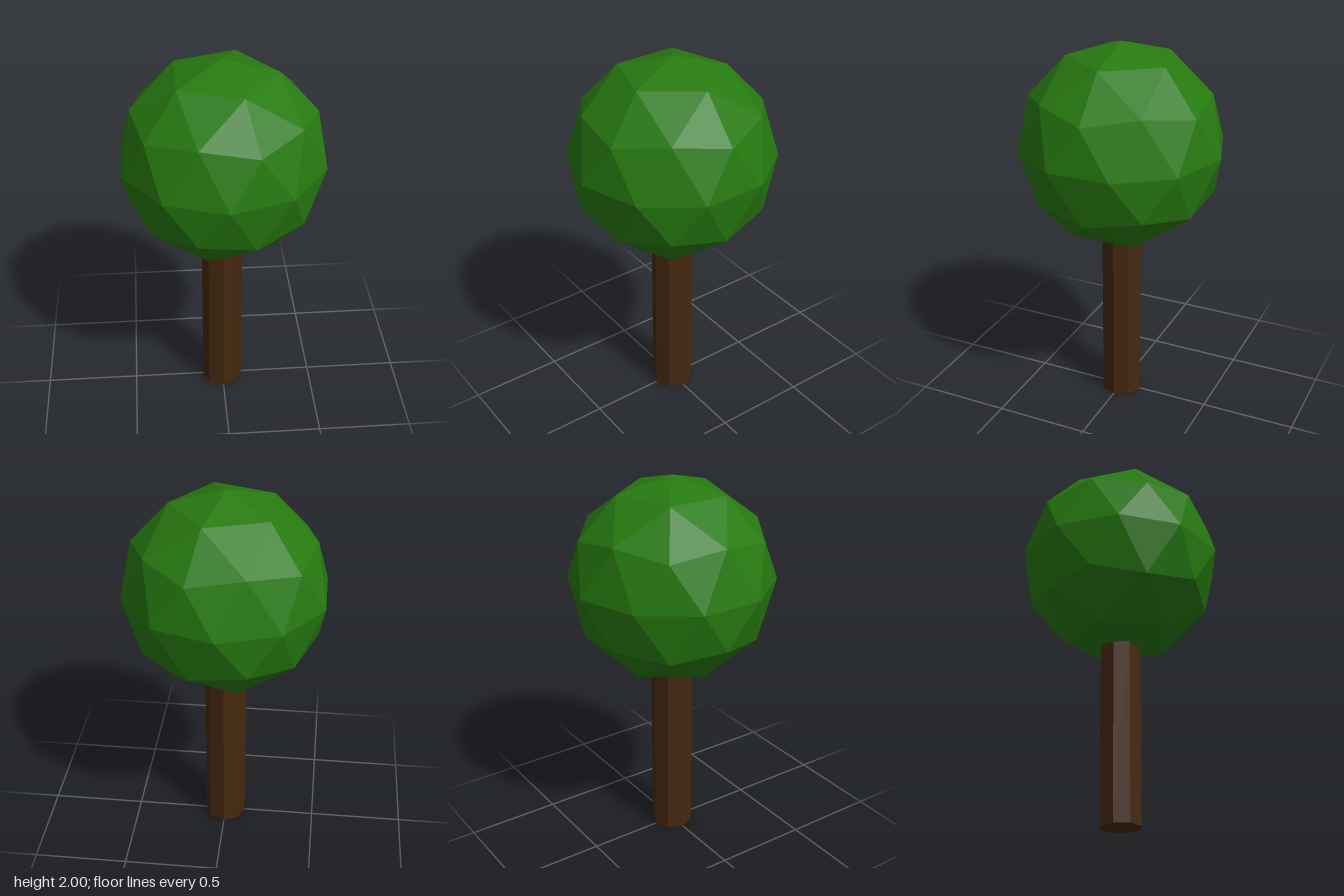
import * as THREE from 'three';

export function createModel() {
  const tree = new THREE.Group();
  tree.name = 'tree';

  const leafGreen = new THREE.MeshStandardMaterial({ color: 0x277a10, flatShading: true });
  leafGreen.name = 'leaf green';
  const barkBrown = new THREE.MeshStandardMaterial({ color: 0x45280f, flatShading: true });
  barkBrown.name = 'bark brown';

  // Octagonal trunk, its top sunk into the crown
  const trunkHeight = 1;
  const trunk = new THREE.Mesh(new THREE.CylinderGeometry(0.11, 0.11, trunkHeight, 8), barkBrown);
  trunk.name = 'trunk';
  trunk.position.y = trunkHeight / 2;
  tree.add(trunk);

  // Faceted crown, turned so that one corner points straight up
  const radius = 0.537;
  const golden = (1 + Math.sqrt(5)) / 2;
  const crownGeometry = new THREE.IcosahedronGeometry(radius, 1);
  crownGeometry.rotateZ(-Math.atan(1 / golden));
  const crown = new THREE.Mesh(crownGeometry, leafGreen);
  crown.name = 'crown';
  crown.position.y = 2 - radius;
  tree.add(crown);

  return tree;
}
